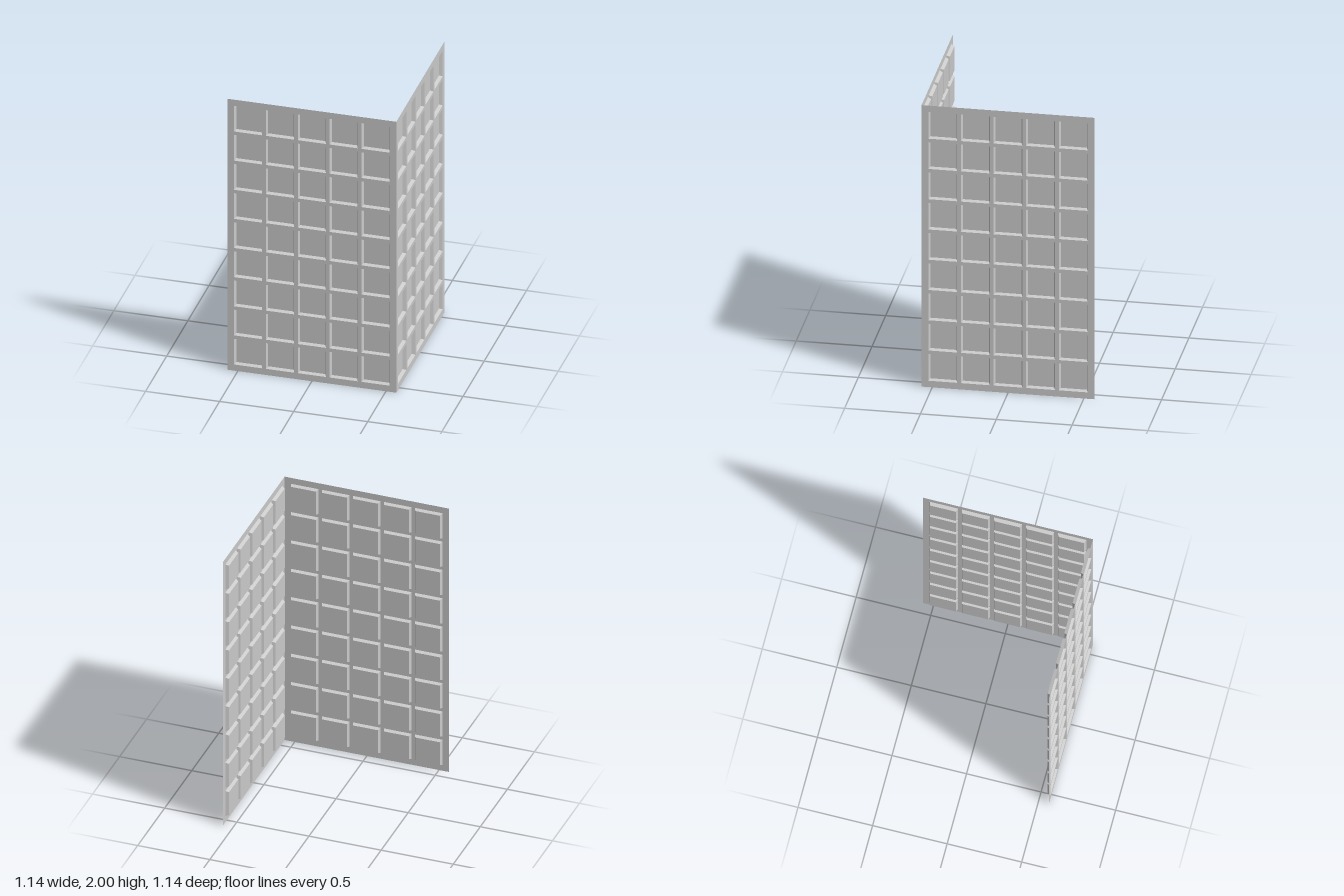
import * as THREE from 'three';

const WIDTH = 1.14, HEIGHT = 2;          // one wall panel
const COLS = 5, ROWS = 9, PITCH = 0.215; // grid of recesses
const OPENING = 0.095, FLOOR = 0.086;    // half sizes of a recess at its rim and floor
const DEPTH = 0.022;

const material = new THREE.MeshStandardMaterial({
  color: 0xcccccc, flatShading: true, side: THREE.DoubleSide,
});

// Centres of all recesses on a panel
function cellCentres() {
  const centres = [];
  for (let row = 0; row < ROWS; row++) {
    for (let col = 0; col < COLS; col++) {
      centres.push([
        (col - (COLS - 1) / 2) * PITCH,
        HEIGHT / 2 + (row - (ROWS - 1) / 2) * PITCH,
      ]);
    }
  }
  return centres;
}

// Flat lattice with a square opening for every recess
function latticeGeometry(centres) {
  const w = WIDTH / 2, h = OPENING;
  const shape = new THREE.Shape([
    new THREE.Vector2(-w, 0), new THREE.Vector2(w, 0),
    new THREE.Vector2(w, HEIGHT), new THREE.Vector2(-w, HEIGHT),
  ]);
  for (const [x, y] of centres) {
    shape.holes.push(new THREE.Path([
      new THREE.Vector2(x - h, y - h), new THREE.Vector2(x - h, y + h),
      new THREE.Vector2(x + h, y + h), new THREE.Vector2(x + h, y - h),
    ]));
  }
  return new THREE.ShapeGeometry(shape);
}

// Square tray with sloping sides, open toward +z
function trayGeometry() {
  const profile = [
    new THREE.Vector2(OPENING * Math.SQRT2, 0),
    new THREE.Vector2(FLOOR * Math.SQRT2, -DEPTH),
    new THREE.Vector2(0, -DEPTH),
  ];
  const tray = new THREE.LatheGeometry(profile, 4, Math.PI / 4).toNonIndexed();
  tray.rotateX(Math.PI / 2);
  tray.computeVertexNormals();
  return tray;
}

export function createModel() {
  const model = new THREE.Group();
  model.name = 'cofferedCornerWalls';
  const centres = cellCentres();
  const lattice = latticeGeometry(centres);
  const tray = trayGeometry();

  // Two identical panels meeting at the front left corner
  for (const [name, angle] of [['frontWall', 0], ['leftWall', Math.PI / 2]]) {
    const wall = new THREE.Group();
    wall.name = name;
    wall.rotation.y = angle;

    const frame = new THREE.Mesh(lattice, material);
    frame.name = 'lattice';
    frame.position.z = WIDTH / 2;
    wall.add(frame);

    for (const [x, y] of centres) {
      const recess = new THREE.Mesh(tray, material);
      recess.name = 'recessedPanel';
      recess.position.set(x, y, WIDTH / 2);
      wall.add(recess);
    }
    model.add(wall);
  }
  return model;
}
